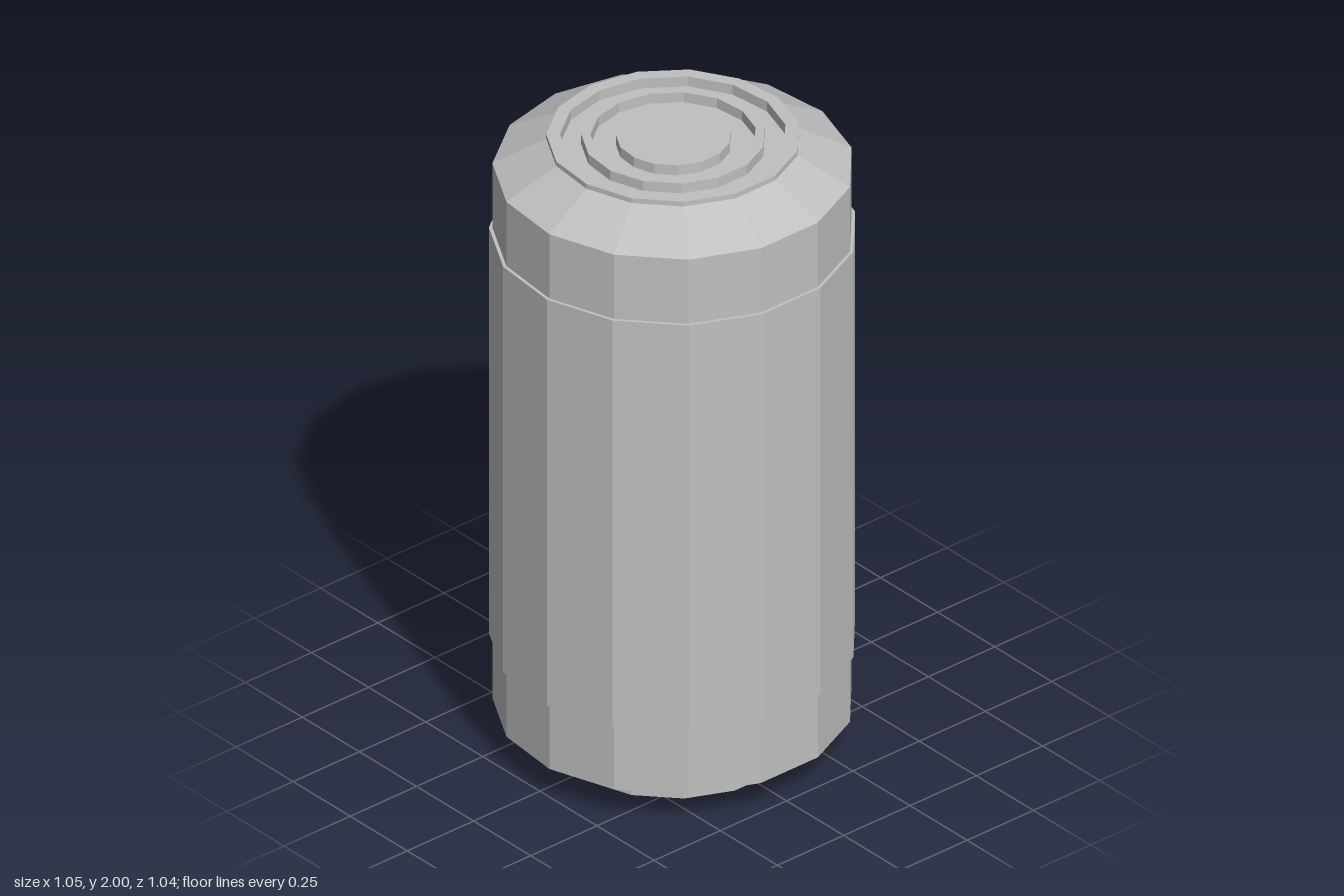
import * as THREE from 'three';

const SIDES = 15;
const HEIGHT = 2;

export function createModel() {
  const group = new THREE.Group();
  const metal = new THREE.MeshStandardMaterial({ color: 0xc0c0c0, flatShading: true });
  metal.name = 'grey metal';

  // Profiles run from bottom to top as [radius, height]; one corner points to the back
  const turned = (name, profile) => {
    const points = profile.map(([r, y]) => new THREE.Vector2(r, y));
    const mesh = new THREE.Mesh(new THREE.LatheGeometry(points, SIDES, Math.PI), metal);
    mesh.name = name;
    mesh.position.z = 0.005; // balances the odd number of sides
    group.add(mesh);
  };

  // Inner barrel with its sloped shoulders
  turned('barrel', [[0.364, 0.018], [0.518, 0.108], [0.518, 1.9], [0.364, 1.984]]);

  // Slightly wider sleeve around the middle
  turned('sleeve', [[0.518, 0.325], [0.528, 0.325], [0.528, 1.685], [0.518, 1.685]]);

  // End caps: outer rim, groove, raised ring, groove, raised centre disc
  const floor = 1.967;
  const cap = [
    [0.364, 1.982], [0.364, 2], [0.325, 2], [0.325, floor],
    [0.264, floor], [0.264, 2], [0.238, 2], [0.238, floor],
    [0.165, floor], [0.165, 2], [0, 2],
  ];
  turned('topCap', cap);
  turned('bottomCap', cap.map(([r, y]) => [r, HEIGHT - y]).reverse());

  return group;
}
